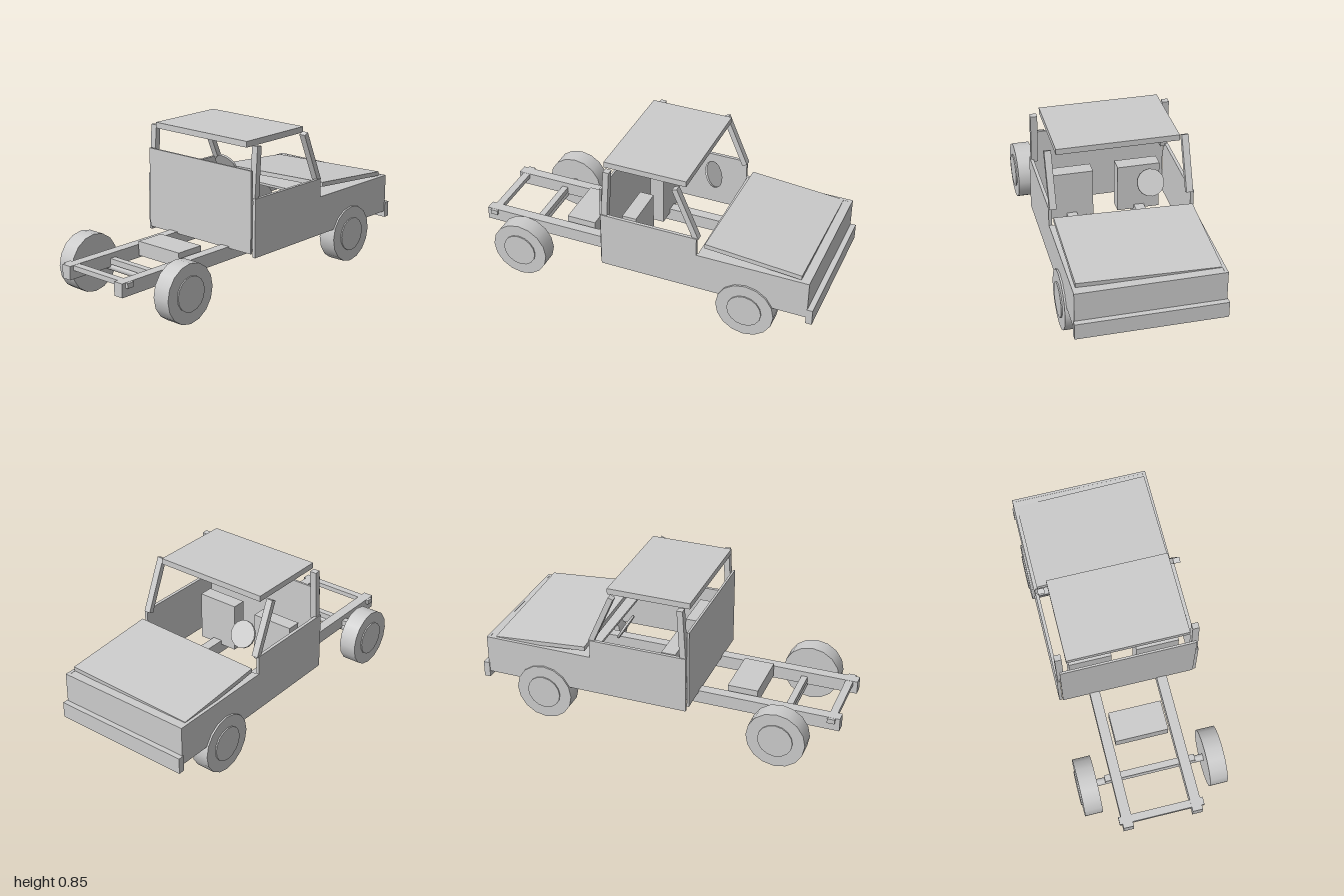
import * as THREE from 'three';

export function createModel() {
  const truck = new THREE.Group();
  truck.name = 'chassisCabTruck';
  const grey = new THREE.MeshStandardMaterial({ color: 0xcccccc });
  grey.name = 'plain grey';

  function add(name, geometry, x = 0, y = 0, z = 0) {
    const mesh = new THREE.Mesh(geometry, grey);
    mesh.name = name;
    mesh.position.set(x, y, z);
    truck.add(mesh);
    return mesh;
  }
  // Box given by its minimum and maximum on each axis
  function box(name, x0, x1, y0, y1, z0, z1) {
    return add(name, new THREE.BoxGeometry(x1 - x0, y1 - y0, z1 - z0),
      (x0 + x1) / 2, (y0 + y1) / 2, (z0 + z1) / 2);
  }
  // Leaning post in the y-z plane
  function post(name, x, y0, z0, y1, z1, depth) {
    const length = Math.hypot(y1 - y0, z1 - z0);
    const mesh = add(name, new THREE.BoxGeometry(0.037, length, depth), x, (y0 + y1) / 2, (z0 + z1) / 2);
    mesh.rotation.x = Math.atan2(z1 - z0, y1 - y0);
  }
  // Cylinder lying along x
  function roller(name, radius, x0, x1, y, z, sides) {
    const geometry = new THREE.CylinderGeometry(radius, radius, x1 - x0, sides).rotateZ(Math.PI / 2);
    return add(name, geometry, (x0 + x1) / 2, y, z);
  }

  // Stepped side panel, drawn in z and y
  const profile = new THREE.Shape([
    [0.2, 0.22], [0.2, 0.545], [-0.35, 0.545], [-0.35, 0.44], [-0.97, 0.44], [-0.97, 0.22],
  ].map(([z, y]) => new THREE.Vector2(z, y)));
  const panel = new THREE.ExtrudeGeometry(profile, { depth: 0.018, bevelEnabled: false }).rotateY(-Math.PI / 2);

  for (const side of [-1, 1]) {
    const pair = (name, inner, outer, ...rest) =>
      box(name, Math.min(side * inner, side * outer), Math.max(side * inner, side * outer), ...rest);

    add('sidePanel', panel, side > 0 ? 0.395 : -0.377, 0, 0);
    post('rearPost', side * 0.371, 0.53, 0.181, 0.822, 0.163, 0.033);
    post('windscreenPost', side * 0.371, 0.535, -0.345, 0.82, -0.222, 0.03);
    pair('frameRail', 0.165, 0.222, 0.175, 0.25, -0.93, 1);
    pair('seat', 0.07, 0.31, 0.225, 0.505, 0.03, 0.11);

    // Wheels with raised hubs
    for (const z of [0.703, -0.63]) {
      roller('wheel', 0.162, side * 0.355 - 0.05, side * 0.355 + 0.05, 0.162, z, 16);
      roller('hub', 0.096, side * 0.385 - 0.027, side * 0.385 + 0.027, 0.162, z, 16);
    }
  }

  // Cab and front body
  box('backPanel', -0.375, 0.375, 0.24, 0.695, 0.2, 0.212);
  box('roof', -0.333, 0.333, 0.812, 0.845, -0.265, 0.2);
  box('enginePlate', -0.377, 0.377, 0.425, 0.439, -0.955, -0.355);
  box('frontPanel', -0.377, 0.377, 0.22, 0.44, -0.97, -0.955);
  box('bumper', -0.4, 0.4, 0.185, 0.275, -1, -0.965);

  // Loose bonnet, tipped forward and slightly to one side
  const bonnet = add('bonnet', new THREE.BoxGeometry(0.755, 0.025, 0.535), 0, 0.465, -0.655);
  bonnet.rotation.set(-0.082, 0, 0.033);

  const wheel = add('steeringWheel', new THREE.CylinderGeometry(0.075, 0.075, 0.012, 16), -0.19, 0.545, -0.222);
  wheel.rotation.x = -1.05;

  // Rear chassis
  box('rearCrossMember', -0.237, 0.237, 0.222, 0.249, 0.933, 0.975);
  box('axleBeam', -0.256, 0.256, 0.19, 0.222, 0.682, 0.718);
  roller('rearAxle', 0.02, -0.31, 0.31, 0.171, 0.7, 16);
  box('fuelTank', -0.15, 0.15, 0.195, 0.275, 0.355, 0.525);

  return truck;
}
